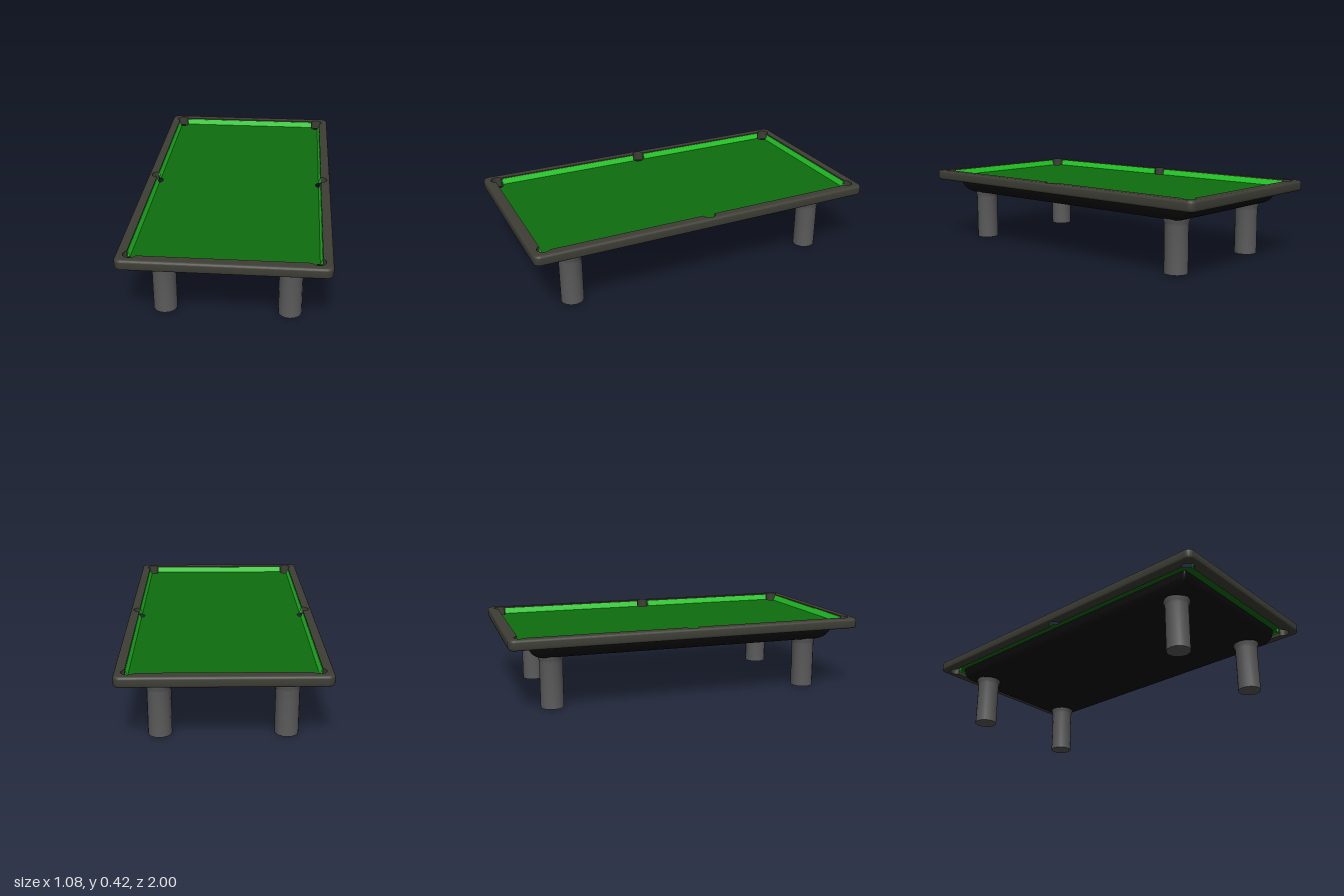
import * as THREE from 'three';
import { toCreasedNormals } from 'three/addons/utils/BufferGeometryUtils.js';

const mat = (name, color, side = THREE.FrontSide) => {
  const m = new THREE.MeshStandardMaterial({ color, side });
  m.name = name;
  return m;
};

// Half sizes of the playing opening, and the pockets
const A = 0.487, B = 0.943;
const CORNER = { x: 0.468, z: 0.93, r: 0.035 };
const SIDE = { x: 0.49, r: 0.033 };
const CLOTH_Y = 0.384;

function roundedRect(hx, hy, r) {
  const s = new THREE.Shape();
  [[1, 1], [-1, 1], [-1, -1], [1, -1]].forEach(([sx, sy], i) =>
    s.absarc(sx * (hx - r), sy * (hy - r), r, i * Math.PI / 2, (i + 1) * Math.PI / 2, false));
  return s;
}

// Opening outline: pockets either bulge out of it (rail) or bite into it (cloth)
function pocketOutline(bite) {
  const s = new THREE.Shape();
  const { x, z, r } = CORNER;
  const c0 = -Math.acos((A - x) / r);
  const c1 = Math.PI - Math.asin((B - z) / r);
  const side = Math.acos((A - SIDE.x) / SIDE.r);
  const PI = Math.PI;
  s.absarc(SIDE.x, 0, SIDE.r, -side, side, bite);
  s.absarc(x, z, r, c0, c1, bite);
  s.absarc(-x, z, r, PI - c1, PI - c0, bite);
  s.absarc(-SIDE.x, 0, SIDE.r, PI - side, PI + side, bite);
  s.absarc(-x, -z, r, PI + c0, PI + c1, bite);
  s.absarc(x, -z, r, -c1, -c0, bite);
  return s;
}

// Closed outline of a shape laid flat at height y
const ring = (shape, y, k = 1) => {
  const p = shape.getPoints(8);
  if (p[0].distanceTo(p[p.length - 1]) < 1e-6) p.pop();
  return p.map(v => [v.x * k, y, -v.y * k]);
};

// Skin between rings of equal point count
function loft(rings) {
  const n = rings[0].length, idx = [];
  for (let i = 0; i < rings.length - 1; i++) {
    for (let j = 0; j < n; j++) {
      const a = i * n + j, b = i * n + (j + 1) % n;
      idx.push(a, b, b + n, a, b + n, a + n);
    }
  }
  const g = new THREE.BufferGeometry();
  g.setAttribute('position', new THREE.Float32BufferAttribute(rings.flat(2), 3));
  g.setIndex(idx);
  return toCreasedNormals(g, 0.45);
}

const flat = (shape, y, up) =>
  new THREE.ShapeGeometry(shape, 8).rotateX(up ? -Math.PI / 2 : Math.PI / 2).translate(0, y, 0);

export function createModel() {
  const model = new THREE.Group();
  model.name = 'poolTable';
  const railMat = mat('dark rail', 0x3e3e36);
  const bodyMat = mat('black body', 0x0a0a0a);
  const legMat = mat('grey legs', 0x5c5c5c);
  const clothMat = mat('green cloth', 0x0e6e0e, THREE.DoubleSide);
  const cushionMat = mat('bright green cushion', 0x22cc26);

  const add = (name, geometry, material, parent = model) => {
    const m = new THREE.Mesh(geometry, material);
    m.name = name;
    parent.add(m);
    return m;
  };

  // Rail frame with rounded outer edge and pocket cut-outs
  const rail = new THREE.Group();
  rail.name = 'railFrame';
  model.add(rail);
  const y0 = 0.364, y1 = 0.422, e = 0.014, steps = 4;
  const outer = inset => roundedRect(0.54 - inset, 1 - inset, 0.035 - inset);
  const rings = [];
  for (const top of [false, true]) {
    for (let i = 0; i <= steps; i++) {
      const t = (top ? i : steps - i) / steps * Math.PI / 2;
      const drop = e * (1 - Math.sin(t));
      rings.push(ring(outer(e * (1 - Math.cos(t))), top ? y1 - drop : y0 + drop));
    }
  }
  add('railOuterEdge', loft(rings), railMat, rail);
  const cap = outer(e);
  cap.holes.push(pocketOutline(false));
  add('railTop', flat(cap, y1, true), railMat, rail);
  add('railUnderside', flat(cap, y0, false), railMat, rail);
  const hole = pocketOutline(false);
  add('railInnerWall', loft([ring(hole, y1), ring(hole, y0)]), railMat, rail);

  // Playing cloth
  add('cloth', flat(pocketOutline(true), CLOTH_Y, true), clothMat);

  // Sloped cushions between the pockets
  const profile = new THREE.Shape([
    [0.002, CLOTH_Y - 0.001], [0.002, 0.415], [-0.002, 0.415], [-0.013, CLOTH_Y - 0.001],
  ].map(p => new THREE.Vector2(...p)));
  const cushion = (length, x, z, turn) => {
    const g = new THREE.ExtrudeGeometry(profile, { depth: length, bevelEnabled: false });
    const m = add('cushion', g.translate(0, 0, -length / 2), cushionMat);
    m.position.set(x, 0, z);
    m.rotation.y = turn;
  };
  for (const s of [1, -1]) {
    for (const h of [1, -1]) cushion(0.857, s * A, h * 0.465, s > 0 ? 0 : Math.PI);
    cushion(0.864, 0, s * B, -s * Math.PI / 2);
  }

  // Body under the table, curving inwards towards the bottom
  const plan = roundedRect(0.433, 0.888, 0.012);
  const bodyRings = [];
  for (let i = 0; i <= 8; i++) {
    const t = i / 8 * Math.PI / 2;
    bodyRings.push(ring(plan, 0.287 + 0.085 * (1 - Math.cos(t)), 0.9 + 0.1 * Math.sin(t)));
  }
  bodyRings.push(ring(plan, CLOTH_Y - 0.001));
  add('body', loft(bodyRings), bodyMat);
  add('bodyUnderside', flat(plan, 0, false).scale(0.9, 1, 0.9).translate(0, 0.287, 0), bodyMat);

  // Round legs with a slight flare at the top
  const legGeo = toCreasedNormals(new THREE.LatheGeometry(
    [[0, 0], [0.064, 0], [0.064, 0.255], [0.067, 0.27], [0.073, 0.287], [0.073, 0.292]]
      .map(p => new THREE.Vector2(...p)), 16), 0.5);
  for (const x of [-1, 1]) for (const z of [-1, 1]) {
    add('leg', legGeo, legMat).position.set(x * 0.333, 0, z * 0.755);
  }
  return model;
}
